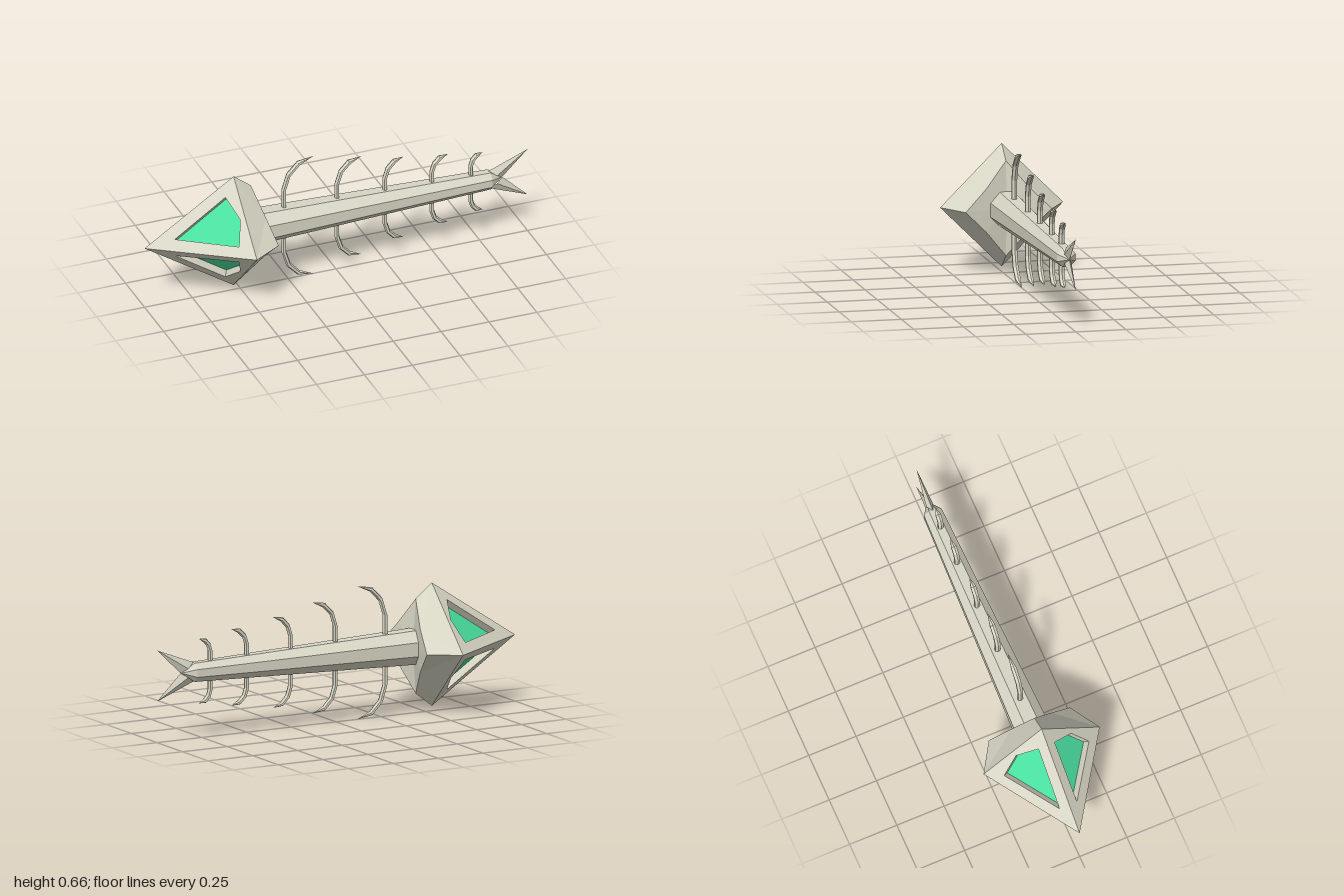
import * as THREE from 'three';

const V = (x, y, z = 0) => new THREE.Vector3(x, y, z);

// Faceted geometry from a list of triangle corners
function facets(points) {
  const g = new THREE.BufferGeometry().setFromPoints(points);
  g.computeVertexNormals();
  return g;
}

function flat(geometry) {
  const g = geometry.toNonIndexed();
  g.computeVertexNormals();
  return g;
}

// Curved, pointed rib growing up from the spine
function ribGeometry(x, reach, tipY) {
  const root = 0.04, h = tipY - root;
  const path = [[0, 0], [0, 0.46], [0.16, 0.73], [0.5, 0.92], [1, 1]]
    .map(([u, v]) => V(x + u * reach, root + v * h));
  const sides = 6, out = [];
  const rings = path.slice(0, -1).map((p, i) => {
    const t = path[i + 1].clone().sub(path[Math.max(i - 1, 0)]).normalize();
    return Array.from({ length: sides }, (_, j) => {
      const a = j / sides * Math.PI * 2, c = Math.cos(a) * 0.012;
      return V(p.x - t.y * c, p.y + t.x * c, Math.sin(a) * 0.015);
    });
  });
  const tip = path[path.length - 1];
  rings.forEach((a, i) => {
    const b = rings[i + 1];
    for (let j = 0; j < sides; j++) {
      const k = (j + 1) % sides;
      if (b) out.push(a[j], a[k], b[k], a[j], b[k], b[j]);
      else out.push(a[j], a[k], tip);
    }
  });
  return facets(out);
}

export function createModel() {
  const bone = new THREE.MeshStandardMaterial({ color: 0xd8d6c5 });
  const green = new THREE.MeshStandardMaterial({ color: 0x4ae0a0 });
  bone.name = 'bone';
  green.name = 'green glow';

  const model = new THREE.Group();
  model.name = 'fishSkeleton';
  const body = new THREE.Group();
  body.name = 'body';
  body.position.y = 0.335;
  model.add(body);
  const add = (parent, name, geometry, material) => {
    const m = new THREE.Mesh(geometry, material);
    m.name = name;
    parent.add(m);
    return m;
  };

  // Head: a four-sided pyramid with a window in every face
  const head = new THREE.Group();
  head.name = 'head';
  body.add(head);
  const nose = V(-1, 0);
  const corners = [V(-0.535, 0, 0.307), V(-0.535, 0.305), V(-0.535, 0, -0.307), V(-0.535, -0.305)];
  const rim = [V(-0.385, 0, 0.215), V(-0.445, 0.235), V(-0.385, 0, -0.215), V(-0.445, -0.235)];
  const hole = [[0.15, 0.15], [0.73, 0.14], [0.475, 0.475], [0.14, 0.73]];
  const backCentre = V(-0.43, 0);
  const back = [];

  for (let i = 0; i < 4; i++) {
    const n = (i + 1) % 4;
    const a = corners[i].clone().sub(nose), b = corners[n].clone().sub(nose);
    const place = (u, v) => nose.clone().addScaledVector(a, u).addScaledVector(b, v);
    const inward = b.clone().cross(a).normalize().multiplyScalar(0.035);

    // Face with its cut-out
    const shape = new THREE.Shape([[0, 0], [1, 0], [0, 1]].map(p => new THREE.Vector2(...p)));
    shape.holes.push(new THREE.Path(hole.map(p => new THREE.Vector2(...p))));
    const face = new THREE.ShapeGeometry(shape);
    const pos = face.attributes.position;
    for (let j = 0; j < pos.count; j++) {
      const p = place(pos.getX(j), pos.getY(j));
      pos.setXYZ(j, p.x, p.y, p.z);
    }
    add(head, 'headFace', flat(face), bone);

    // Recess walls and green pane
    const outer = hole.map(p => place(...p));
    const inner = outer.map(p => p.clone().add(inward));
    const walls = [];
    for (let j = 0; j < 4; j++) {
      const k = (j + 1) % 4;
      walls.push(outer[j], outer[k], inner[k], outer[j], inner[k], inner[j]);
    }
    add(head, 'windowRecess', facets(walls), bone);
    add(head, 'windowPane', facets([inner[0], inner[1], inner[2], inner[0], inner[2], inner[3]]), green);

    // Bevel behind the widest point, and the hollow back
    const kink = V(-0.41, (rim[i].y + rim[n].y) * 0.455, (rim[i].z + rim[n].z) * 0.495);
    back.push(corners[i], rim[i], kink, corners[i], kink, corners[n], corners[n], kink, rim[n],
      backCentre, kink, rim[i], backCentre, rim[n], kink);
  }
  add(head, 'headBack', facets(back), bone);

  // Spine: tapered octagonal bar with a pointed end
  const spine = flat(new THREE.CylinderGeometry(0.05, 0.092, 1.25, 8));
  spine.rotateY(Math.PI / 8).rotateZ(-Math.PI / 2).translate(0.175, 0, 0);
  add(body, 'spine', spine, bone);
  const end = flat(new THREE.ConeGeometry(0.05, 0.065, 8, 1, true));
  end.rotateY(Math.PI / 8).rotateZ(-Math.PI / 2).translate(0.8325, 0, 0);
  add(body, 'spineEnd', end, bone);

  // Ribs above and below, shrinking toward the tail
  const ribs = [[-0.273, 0.155, 0.33], [0.005, 0.127, 0.275], [0.255, 0.097, 0.225],
    [0.5, 0.085, 0.19], [0.703, 0.062, 0.16]];
  for (const [x, reach, tipY] of ribs) {
    const g = ribGeometry(x, reach, tipY);
    add(body, 'upperRib', g, bone);
    add(body, 'lowerRib', g, bone).rotation.x = Math.PI;
  }

  // Forked tail
  const top = V(0.795, 0.047), low = V(0.868, 0), tip = V(1, 0.127);
  const l = V(0.835, 0.022, 0.018), r = V(0.835, 0.022, -0.018);
  const fin = facets([top, l, tip, l, low, tip, r, top, tip, low, r, tip]);
  add(body, 'upperTailFin', fin, bone);
  add(body, 'lowerTailFin', fin, bone).rotation.x = Math.PI;

  return model;
}
